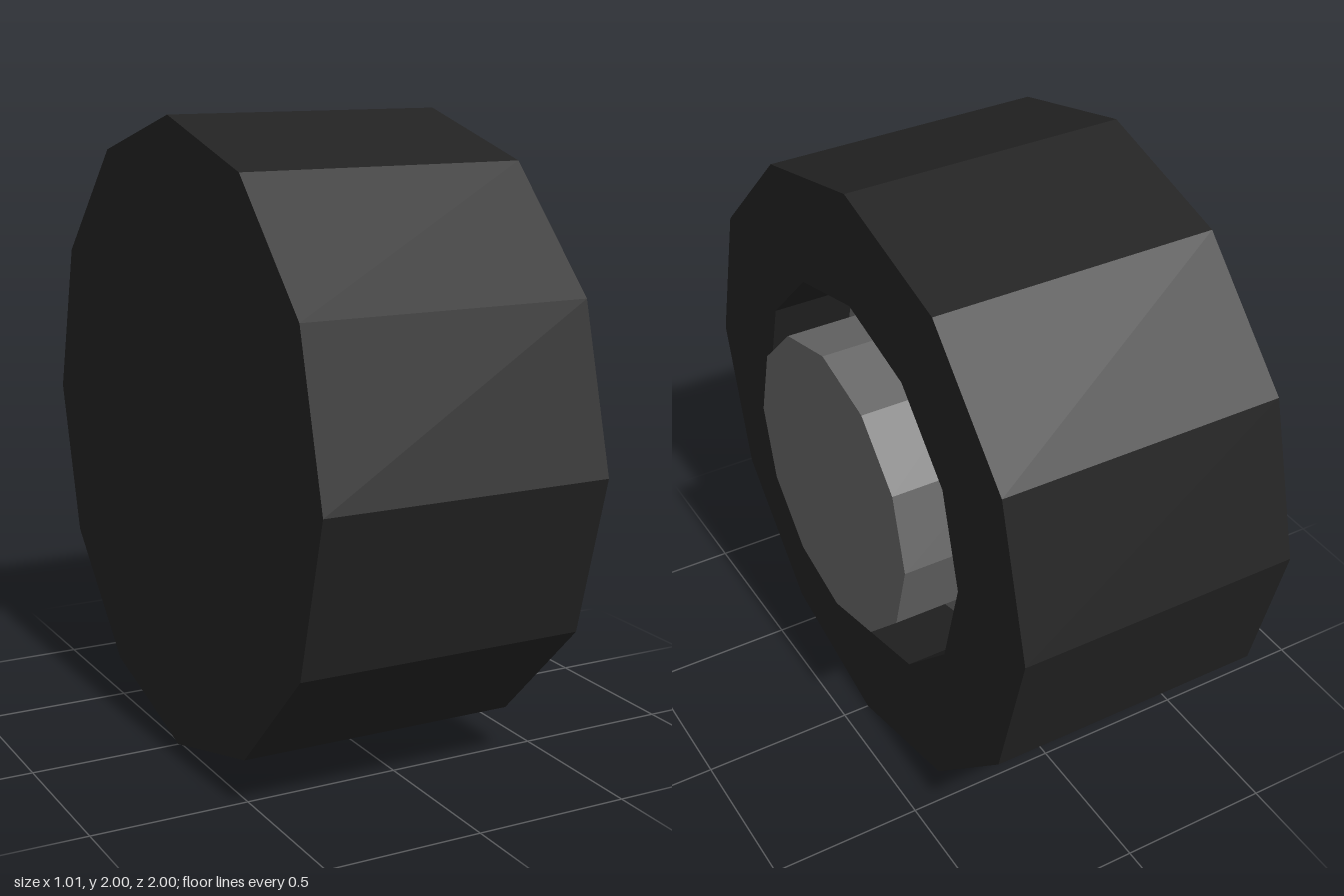
import * as THREE from 'three';

const SIDES = 12;

// Revolves [radius, x] points around the wheel axle (the x axis).
function revolve(name, color, profile) {
  const points = profile.map(([r, x]) => new THREE.Vector2(r, x));
  const geometry = new THREE.LatheGeometry(points, SIDES);
  geometry.rotateZ(-Math.PI / 2);
  const material = new THREE.MeshStandardMaterial({ color, flatShading: true });
  const mesh = new THREE.Mesh(geometry, material);
  mesh.name = name;
  mesh.position.y = 1;
  return mesh;
}

export function createModel() {
  const wheel = new THREE.Group();
  wheel.name = 'wheel';

  // Tyre: closed inner face, tread, outer face and recess wall
  wheel.add(revolve('tyre', 0x222222, [
    [0, -0.51], [1, -0.51], [1, 0.41], [0.63, 0.41], [0.63, 0.13],
  ]));

  // Rim: flat floor of the recess
  wheel.add(revolve('rim', 0x666666, [[0.63, 0.13], [0, 0.13]]));

  // Hub: drum standing on the rim and poking out past the tyre
  wheel.add(revolve('hub', 0x666666, [[0.485, 0.13], [0.485, 0.505], [0, 0.505]]));

  return wheel;
}
